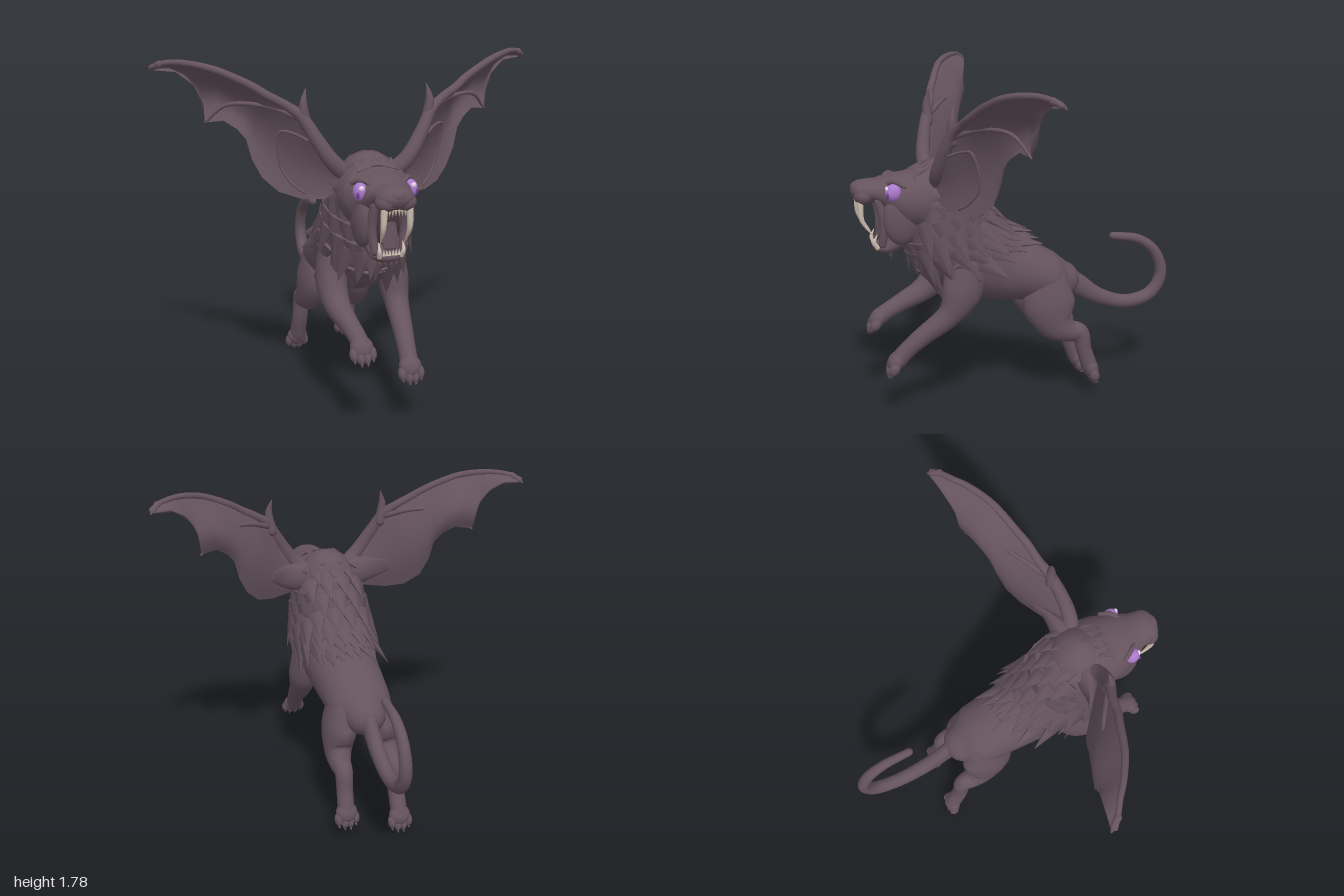
import * as THREE from 'three';
import { mergeGeometries } from 'three/addons/utils/BufferGeometryUtils.js';

const V = (x, y, z) => new THREE.Vector3(x, y, z);
const X = V(1, 0, 0), Z = V(0, 0, 1);

// Frame and radii at parameter s along points [x, y, z, rSide, rUp]
function sampler(pts, ref = X) {
  const path = new THREE.CatmullRomCurve3(pts.map(p => V(p[0], p[1], p[2])));
  const radii = new THREE.CatmullRomCurve3(pts.map(p => V(p[3], p[4] ?? p[3], 0)));
  return s => {
    const c = path.getPoint(s), t = path.getTangent(s), r = radii.getPoint(s);
    const side = ref.clone().addScaledVector(t, -ref.dot(t)).normalize();
    return { c, t, side, up: t.clone().cross(side), rx: Math.max(r.x, 0.001), ry: Math.max(r.y, 0.001) };
  };
}

// Rounded-end loft with elliptical sections
function loft(pts, ref = X, sides = 20, steps = (pts.length - 1) * 6) {
  const at = sampler(pts, ref), pos = [], idx = [], rings = [];
  const cap = (s, dir, list) => list.forEach(a => rings.push([s, dir * Math.sin(a), Math.max(Math.cos(a), 0.001)]));
  cap(0, -1, [1.5708, 1.2, 0.8, 0.4]);
  for (let i = 0; i <= steps; i++) rings.push([i / steps, 0, 1]);
  cap(1, 1, [0.4, 0.8, 1.2, 1.5708]);
  rings.forEach(([s, off, k], i) => {
    const f = at(s), c = f.c.clone().addScaledVector(f.t, off * Math.min(f.rx, f.ry));
    for (let j = 0; j < sides; j++) {
      const a = j / sides * Math.PI * 2;
      const p = c.clone().addScaledVector(f.side, Math.cos(a) * f.rx * k).addScaledVector(f.up, Math.sin(a) * f.ry * k);
      pos.push(p.x, p.y, p.z);
      if (i) {
        const q = (i - 1) * sides, n = (j + 1) % sides;
        idx.push(q + j, q + n, q + sides + n, q + j, q + sides + n, q + sides + j);
      }
    }
  });
  return buffer(pos, idx);
}

function buffer(pos, idx) {
  const g = new THREE.BufferGeometry();
  g.setAttribute('position', new THREE.Float32BufferAttribute(pos, 3));
  g.setIndex(idx);
  g.computeVertexNormals();
  return g;
}

// Cupped sheet between two edges, hollow towards the front
function membrane(top, bottom, bulge, s, rows = 10) {
  const pos = [], idx = [], n = top.length;
  for (let i = 0; i < n; i++) for (let j = 0; j <= rows; j++) {
    const v = j / rows, p = V(...top[i]).lerp(V(...bottom[i]), v);
    p.z -= bulge * Math.sin(Math.PI * v) * Math.sin(Math.PI * (i + 0.5) / n);
    pos.push(p.x * s, p.y, p.z);
    if (i && j) {
      const a = (i - 1) * (rows + 1) + j - 1, b = a + rows + 1;
      idx.push(a, a + 1, b + 1, a, b + 1, b);
    }
  }
  return buffer(pos, idx);
}

// Flat pointed lock of fur, lying along dir with its face along normal
function tuft(p, dir, normal, len, width) {
  const g = new THREE.ConeGeometry(1, 1, 6, 3).translate(0, 0.35, 0);
  const y = dir.clone().normalize(), x = y.clone().cross(normal).normalize(), z = x.clone().cross(y);
  const m = new THREE.Matrix4().makeBasis(x.multiplyScalar(width), y.multiplyScalar(len), z.multiplyScalar(width * 0.35));
  return g.applyMatrix4(m.setPosition(p));
}

export function createModel() {
  const root = new THREE.Group();
  root.name = 'wingedBeast';
  const mat = (name, color) => Object.assign(new THREE.MeshStandardMaterial({ color }), { name });
  const fur = mat('fur', 0x65535d), wingSkin = mat('wingSkin', 0x65535d);
  wingSkin.side = THREE.DoubleSide;
  const mouth = mat('mouth', 0x43343c), tongueMat = mat('tongue', 0x5f4d58);
  const ivory = mat('ivory', 0xcdbfb2), claw = mat('claw', 0x70606a);
  const iris = mat('iris', 0xab79cc), pupil = mat('pupil', 0x6d3f8c), glint = mat('glint', 0xe6d8ec);
  const add = (name, geo, m = fur, parent = root) => {
    const o = new THREE.Mesh(geo, m);
    o.name = name;
    parent.add(o);
    return o;
  };
  const ball = (name, p, sc, m = fur, parent = root) => {
    const o = add(name, new THREE.SphereGeometry(1, 20, 14), m, parent);
    o.position.set(...p);
    o.scale.set(...sc);
    return o;
  };

  // Torso and high neck
  const torso = [[0, 0.62, -0.25, 0.11, 0.1], [0, 0.645, -0.17, 0.17, 0.135], [0, 0.685, -0.05, 0.18, 0.16],
    [0, 0.73, 0.1, 0.19, 0.19], [0, 0.8, 0.24, 0.208, 0.23], [0, 0.91, 0.35, 0.218, 0.24],
    [0, 1.05, 0.4, 0.2, 0.215], [0, 1.18, 0.42, 0.155, 0.15]];
  add('torso', loft(torso, X, 32));

  // Mane: overlapping rows round the neck, shoulders and chest
  const at = sampler(torso), locks = [];
  const row = (s, middle, reach, n, shift) => {
    const f = at(s);
    for (let k = 0; k < n; k++) {
      const a = middle + reach * (2 * (k + shift) / n - 1);
      const normal = f.side.clone().multiplyScalar(Math.cos(a) / f.rx).addScaledVector(f.up, Math.sin(a) / f.ry).normalize();
      const p = f.c.clone().addScaledVector(f.side, Math.cos(a) * f.rx).addScaledVector(f.up, Math.sin(a) * f.ry);
      const vary = (k * 7 + n * 3) % 4;
      const dir = f.t.clone().multiplyScalar(-1).addScaledVector(normal, 0.12 + vary * 0.05);
      locks.push(tuft(p, dir, normal, 0.14 + 0.02 * vary, 0.066));
    }
  };
  for (let r = 0; r < 8; r++) {
    const reach = Math.min(Math.PI, 0.6 + r * 0.5);
    row(0.44 + r * 0.066, Math.PI / 2, reach, Math.round(3 + reach * 3.8), r % 2 ? 0.75 : 0.25);
  }
  row(0.74, -Math.PI / 2, 0.9, 5, 0.5);
  row(0.68, -Math.PI / 2, 0.6, 3, 0.5);
  // Nape locks running from the crown down the spine
  const nape = new THREE.CatmullRomCurve3([V(0, 1.29, 0.47), V(0, 1.27, 0.36), V(0, 1.17, 0.24), V(0, 1.04, 0.13), V(0, 0.93, 0.04)]);
  for (let r = 0; r < 8; r++) {
    const p = nape.getPoint(r / 7), dir = nape.getTangent(r / 7), normal = V(0, -dir.z, dir.y);
    for (let k = r % 2 ? -1.5 : -1; k <= 1.5; k++) {
      const out = normal.clone().add(V(k * 0.45, 0, 0)).normalize();
      locks.push(tuft(p.clone().add(V(k * 0.085, 0, 0)).addScaledVector(normal, -0.018 * k * k), dir.clone().addScaledVector(out, 0.2), out, 0.15, 0.058));
    }
  }
  // Cheek ruff, crown and chin locks
  for (let k = 0; k < 18; k++) {
    const a = k / 18 * Math.PI * 2, normal = V(Math.cos(a), Math.sin(a), 0);
    locks.push(tuft(V(Math.cos(a) * 0.172, 1.12 + Math.sin(a) * 0.165, 0.49), V(Math.cos(a) * 0.4, Math.sin(a) * 0.35 - 0.2, -1), normal, 0.13, 0.055));
  }
  for (let k = -2; k <= 2; k++) {
    locks.push(tuft(V(k * 0.04, 1.285 - Math.abs(k) * 0.01, 0.55), V(k * 0.1, 0.5, -0.85), V(0, 0.85, 0.5), 0.1, 0.034));
    locks.push(tuft(V(k * 0.028, 0.87, 0.68), V(0, -0.8, 0.15), Z, 0.06, 0.022));
  }
  add('mane', mergeGeometries(locks));

  // Head, snout and open jaw
  add('head', loft([[0, 1.14, 0.38, 0.14, 0.14], [0, 1.13, 0.48, 0.185, 0.18], [0, 1.135, 0.58, 0.18, 0.162],
    [0, 1.165, 0.67, 0.145, 0.105], [0, 1.182, 0.76, 0.1, 0.062], [0, 1.185, 0.82, 0.09, 0.055]], X, 28));
  add('lowerJaw', loft([[0, 1.02, 0.5, 0.14, 0.09], [0, 0.945, 0.62, 0.105, 0.07], [0, 0.885, 0.7, 0.082, 0.042], [0, 0.885, 0.745, 0.06, 0.028]]));
  ball('mouthCavity', [0, 1.025, 0.675], [0.072, 0.12, 0.055], mouth);
  add('tongue', loft([[0, 1.08, 0.7, 0.036, 0.018], [0, 0.98, 0.732, 0.045, 0.018], [0, 0.93, 0.755, 0.034, 0.012]]), tongueMat);
  ball('nosePad', [0, 1.2, 0.848], [0.045, 0.032, 0.028]);
  for (const s of [-1, 1]) {
    ball('muzzleLobe', [s * 0.045, 1.165, 0.815], [0.055, 0.045, 0.05]);
    ball('cheek', [s * 0.102, 1.05, 0.635], [0.05, 0.14, 0.095]);
    add('lip', loft([[s * 0.078, 1.14, 0.745, 0.022], [s * 0.083, 1.02, 0.72, 0.024], [s * 0.07, 0.91, 0.73, 0.02]], X, 12));
    ball('eye', [s * 0.124, 1.19, 0.675], [0.036, 0.045, 0.042], iris);
    ball('pupil', [s * 0.146, 1.18, 0.707], [0.007, 0.016, 0.007], pupil);
    ball('eyeGlint', [s * 0.129, 1.212, 0.708], [0.014, 0.013, 0.009], glint);
    add('brow', loft([[s * 0.075, 1.225, 0.705, 0.01], [s * 0.115, 1.242, 0.665, 0.013], [s * 0.145, 1.222, 0.62, 0.01]], Z, 12));
    add('upperFang', loft([[s * 0.062, 1.14, 0.835, 0.018], [s * 0.065, 1.045, 0.83, 0.013], [s * 0.06, 0.955, 0.775, 0.002]], X, 10), ivory);
    add('lowerFang', loft([[s * 0.055, 0.89, 0.755, 0.013], [s * 0.06, 0.92, 0.77, 0.01], [s * 0.06, 0.96, 0.755, 0.002]], X, 10), ivory);
    for (let k = 0; k < 3; k++) {
      const lower = add('lowerTooth', new THREE.ConeGeometry(0.008, 0.03, 8), ivory);
      lower.position.set(s * (0.008 + k * 0.015), 0.912, 0.768);
      const upper = add('upperTooth', new THREE.ConeGeometry(0.008, 0.03, 8), ivory);
      upper.position.set(s * (0.008 + k * 0.015), 1.118, 0.84);
      upper.rotation.x = Math.PI;
    }
  }

  // Bat wings set behind the eyes
  const top = [[0.09, 1.2, 0.44], [0.19, 1.29, 0.46], [0.27, 1.41, 0.44], [0.33, 1.51, 0.41], [0.4, 1.565, 0.38],
    [0.48, 1.61, 0.36], [0.55, 1.655, 0.33], [0.63, 1.695, 0.3], [0.7, 1.725, 0.27], [0.77, 1.745, 0.23],
    [0.83, 1.755, 0.19], [0.88, 1.758, 0.15], [0.94, 1.75, 0.11], [0.985, 1.73, 0.075]];
  const bottom = [[0.13, 1.12, 0.44], [0.24, 1.1, 0.41], [0.33, 1.1, 0.36], [0.42, 1.125, 0.3], [0.49, 1.19, 0.25],
    [0.535, 1.28, 0.23], [0.56, 1.38, 0.22], [0.6, 1.43, 0.2], [0.66, 1.47, 0.17], [0.745, 1.46, 0.14],
    [0.75, 1.55, 0.145], [0.79, 1.64, 0.12], [0.87, 1.705, 0.09], [0.98, 1.715, 0.06]];
  const foldTop = [[0.17, 1.26, 0.48], [0.24, 1.33, 0.46], [0.31, 1.4, 0.43], [0.36, 1.425, 0.38], [0.42, 1.43, 0.34]];
  const foldBottom = [[0.17, 1.13, 0.46], [0.24, 1.12, 0.43], [0.31, 1.13, 0.38], [0.36, 1.17, 0.34], [0.41, 1.26, 0.3]];
  for (const s of [-1, 1]) {
    const wing = new THREE.Group();
    wing.name = s > 0 ? 'leftWing' : 'rightWing';
    root.add(wing);
    const bone = (name, pts) => add(name, loft(pts.map(p => [p[0] * s, ...p.slice(1)]), Z, 12), fur, wing);
    add('membrane', membrane(top, bottom, 0.085, s), wingSkin, wing);
    add('innerFold', membrane(foldTop, foldBottom, 0.03, s), wingSkin, wing);
    bone('wingArm', top.map((p, i) => [...p, 0.046 - Math.min(i, 4) * 0.005 - i * 0.001]));
    bone('wingRoot', [[0.1, 1.19, 0.42, 0.07, 0.085], [0.18, 1.2, 0.4, 0.05, 0.08], [0.26, 1.22, 0.37, 0.02, 0.06], [0.33, 1.24, 0.32, 0.003, 0.03]]);
    bone('wingThumb', [[0.31, 1.47, 0.41, 0.03], [0.322, 1.57, 0.412, 0.02], [0.308, 1.64, 0.4, 0.003]]);
    bone('wingTip', [[0.95, 1.747, 0.105, 0.018], [0.978, 1.728, 0.07, 0.014], [0.992, 1.715, 0.055, 0.004]]);
    bone('wingFinger', [[0.33, 1.5, 0.4, 0.016], [0.47, 1.55, 0.3, 0.011], [0.65, 1.55, 0.2, 0.01], [0.745, 1.46, 0.14, 0.006]]);
    bone('foldRim', [...foldTop.slice(2), foldBottom[4], foldBottom[3], foldBottom[2]].map(p => [...p, 0.007]));
  }

  // Paw with four toes and short claws, pointing along dir
  const paw = (name, p, dir) => {
    const g = new THREE.Group();
    g.name = name;
    g.position.set(...p);
    g.quaternion.setFromUnitVectors(Z, V(...dir).normalize());
    root.add(g);
    ball('pad', [0, 0, 0], [0.058, 0.043, 0.058], fur, g);
    for (let k = 0; k < 4; k++) {
      const x = (k - 1.5) * 0.031, z = k % 3 ? 0.05 : 0.032;
      ball('toe', [x, 0, z], [0.021, 0.027, 0.036], fur, g);
      add('claw', loft([[x, 0.008, z + 0.022, 0.009], [x, 0.002, z + 0.037, 0.006], [x, -0.012, z + 0.046, 0.001]], X, 8, 4), claw, g);
    }
  };

  // Forelegs, reaching forward at different heights
  add('leftForeleg', loft([[0.135, 0.8, 0.3, 0.09, 0.12], [0.165, 0.64, 0.345, 0.08, 0.105], [0.165, 0.53, 0.41, 0.062, 0.064],
    [0.15, 0.42, 0.55, 0.05], [0.14, 0.345, 0.635, 0.045], [0.135, 0.295, 0.68, 0.046]]));
  paw('leftForepaw', [0.135, 0.29, 0.69], [0, -0.8, 0.45]);
  add('rightForeleg', loft([[-0.135, 0.81, 0.32, 0.09, 0.12], [-0.175, 0.67, 0.38, 0.08, 0.1], [-0.175, 0.57, 0.48, 0.065],
    [-0.155, 0.515, 0.6, 0.05], [-0.14, 0.475, 0.685, 0.045], [-0.135, 0.445, 0.735, 0.046]]));
  paw('rightForepaw', [-0.135, 0.44, 0.74], [0, -0.75, 0.6]);

  // Hind legs, trailing
  for (const s of [-1, 1]) {
    const d = s < 0 ? 0.06 : 0, name = s > 0 ? 'left' : 'right';
    add(name + 'HindLeg', loft([[s * 0.085, 0.64, -0.14, 0.09, 0.12], [s * 0.112, 0.52, -0.15, 0.09, 0.145], [s * 0.13, 0.41, -0.19, 0.072, 0.1],
      [s * 0.138, 0.365, -0.255, 0.058, 0.062], [s * 0.14, 0.35, -0.315, 0.048, 0.05], [s * 0.143, 0.25 - d / 2, -0.342, 0.044, 0.042],
      [s * 0.146, 0.155 - d, -0.372 - d / 3, 0.045]]));
    paw(name + 'HindPaw', [s * 0.146, 0.14 - d, -0.38 - d / 3], [0, -1, -0.3]);
  }

  // Curled tail
  add('tail', loft([[0, 0.66, -0.2, 0.06, 0.08], [0, 0.59, -0.33, 0.042, 0.06], [0, 0.5, -0.47, 0.04, 0.045], [0, 0.452, -0.64, 0.038],
    [0, 0.49, -0.78, 0.036], [0, 0.6, -0.84, 0.033], [0, 0.73, -0.8, 0.03], [0, 0.81, -0.7, 0.026], [0, 0.84, -0.55, 0.021]], X, 16));
  return root;
}
